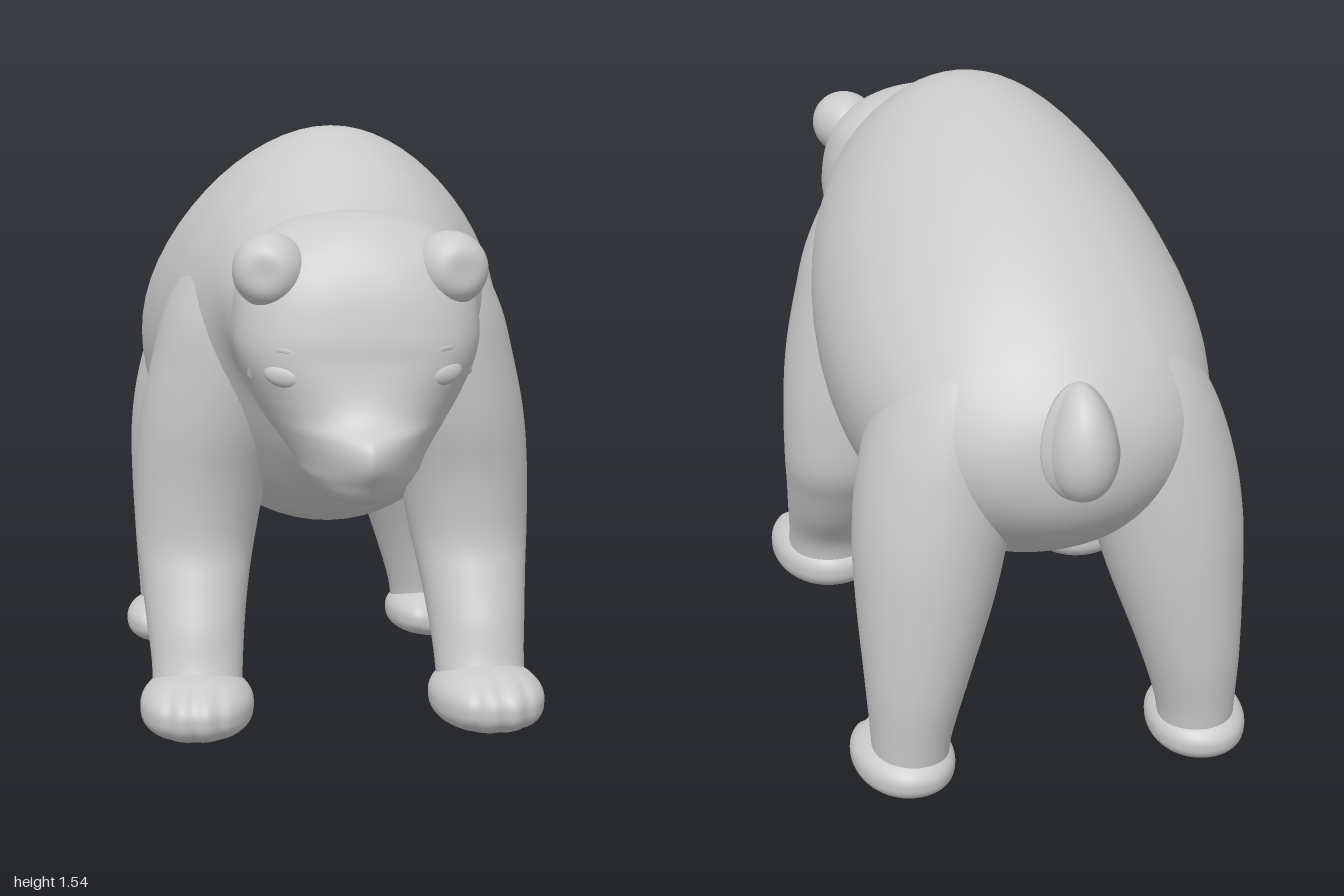
import * as THREE from 'three';
import { mergeVertices } from 'three/addons/utils/BufferGeometryUtils.js';

const grey = new THREE.MeshStandardMaterial({ color: 0xcccccc, roughness: 0.8 });

function add(group, name, geometry) {
  const mesh = new THREE.Mesh(geometry, grey);
  mesh.name = name;
  group.add(mesh);
  return mesh;
}

// Smooth interpolation of every column of a section table
function sampleRows(rows, t) {
  const f = t * (rows.length - 1);
  const i = Math.min(Math.floor(f), rows.length - 2);
  const u = f - i;
  const at = (k) => rows[Math.max(0, Math.min(rows.length - 1, k))];
  return rows[0].map((_, c) => {
    const [a, b, d, e] = [at(i - 1)[c], at(i)[c], at(i + 1)[c], at(i + 2)[c]];
    return b + 0.5 * u * (d - a + u * (2 * a - 5 * b + 4 * d - e + u * (3 * (b - d) + e - a)));
  });
}

// Closed skin through cross-sections; place(row, angle) returns a point
function loft(rows, place, rings = 64, sides = 56) {
  const pos = [], idx = [];
  for (let r = 0; r <= rings; r++) {
    const row = sampleRows(rows, r / rings);
    for (let s = 0; s < sides; s++) pos.push(...place(row, (s / sides) * Math.PI * 2));
  }
  const tri = (a, b, c) => idx.push(a, b, c);
  for (let r = 0; r < rings; r++) {
    for (let s = 0; s < sides; s++) {
      const n = (s + 1) % sides, a = r * sides, b = a + sides;
      tri(a + s, a + n, b + n);
      tri(a + s, b + n, b + s);
    }
  }
  // End caps
  for (const r of [0, rings]) {
    const centre = pos.length / 3, mid = [0, 0, 0];
    for (let s = 0; s < sides; s++) for (let k = 0; k < 3; k++) mid[k] += pos[(r * sides + s) * 3 + k] / sides;
    pos.push(...mid);
    for (let s = 0; s < sides; s++) {
      const a = r * sides + s, b = r * sides + ((s + 1) % sides);
      if (r) tri(a, b, centre); else tri(b, a, centre);
    }
  }
  // Turn the faces outward if the enclosed volume is negative
  let volume = 0;
  const P = (i) => new THREE.Vector3().fromArray(pos, i * 3);
  for (let i = 0; i < idx.length; i += 3) volume += P(idx[i]).dot(P(idx[i + 1]).cross(P(idx[i + 2])));
  if (volume < 0) idx.reverse();
  const g = new THREE.BufferGeometry();
  g.setAttribute('position', new THREE.Float32BufferAttribute(pos, 3));
  g.setIndex(idx);
  g.computeVertexNormals();
  return g;
}

// Unit sphere reshaped by a rule acting on each point
function blob(rule, w = 40, h = 28) {
  let g = new THREE.SphereGeometry(1, w, h);
  g.deleteAttribute('uv');
  g.deleteAttribute('normal');
  g = mergeVertices(g);
  const p = g.attributes.position, v = new THREE.Vector3();
  for (let i = 0; i < p.count; i++) {
    rule(v.fromBufferAttribute(p, i));
    p.setXYZ(i, v.x, v.y, v.z);
  }
  g.computeVertexNormals();
  return g;
}

const spow = (v, e) => Math.sign(v) * Math.abs(v) ** e;

// Leg section: y, inner x, outer x, back z, front z
const legSkin = (side) => ([y, xi, xo, zb, zf], a) => [
  side * ((xi + xo) / 2 + ((xo - xi) / 2) * Math.cos(a)), y,
  (zb + zf) / 2 + ((zf - zb) / 2) * Math.sin(a)];

// Leg tops thin out inside the body so they merge into it
const frontLegRows = [
  [0.1, 0.25, 0.475, 0.24, 0.5], [0.2, 0.245, 0.475, 0.22, 0.45], [0.3, 0.235, 0.485, 0.14, 0.42],
  [0.4, 0.22, 0.495, 0.075, 0.38], [0.5, 0.2, 0.505, 0.02, 0.35], [0.65, 0.17, 0.505, 0, 0.36],
  [0.8, 0.13, 0.492, -0.01, 0.39], [0.95, 0.1, 0.462, -0.02, 0.41], [1.1, 0.08, 0.42, -0.02, 0.42],
  [1.25, 0.06, 0.335, 0, 0.4], [1.36, 0.05, 0.2, 0.05, 0.32]];
const backLegRows = [
  [0.06, 0.275, 0.46, -0.8, -0.6], [0.15, 0.265, 0.465, -0.81, -0.59], [0.3, 0.22, 0.475, -0.83, -0.55],
  [0.5, 0.15, 0.485, -0.84, -0.47], [0.65, 0.11, 0.485, -0.84, -0.42], [0.8, 0.08, 0.465, -0.83, -0.38],
  [0.95, 0.06, 0.418, -0.81, -0.36], [1.08, 0.05, 0.335, -0.77, -0.38], [1.18, 0.05, 0.2, -0.7, -0.45]];

// Paw with a flattened sole and three soft grooves between the toes
const pawSkin = () => blob((v) => {
  const front = THREE.MathUtils.smoothstep(v.z, 0.25, 0.9);
  let groove = 0;
  for (const g of [-0.42, 0, 0.42]) groove += Math.exp(-(((v.x - g) / 0.08) ** 2));
  const k = 1 - 0.07 * groove * front;
  v.set(spow(v.x, 0.95), spow(v.y, v.y < 0 ? 0.7 : 0.95) * (v.y > 0 ? k : 1), spow(v.z, 0.95) * k);
}, 64, 32);

export function createModel() {
  const bear = new THREE.Group();
  bear.name = 'bear';

  // Body and neck: z, bottom y, top y, half width; the back narrows towards the spine
  const bodyRows = [
    [0.74, 0.98, 1.27, 0.17], [0.66, 0.92, 1.345, 0.25], [0.55, 0.86, 1.388, 0.285], [0.45, 0.83, 1.44, 0.318],
    [0.35, 0.69, 1.495, 0.36], [0.2, 0.54, 1.535, 0.415], [0, 0.49, 1.52, 0.453],
    [-0.2, 0.47, 1.47, 0.467], [-0.4, 0.49, 1.4, 0.457], [-0.6, 0.55, 1.3, 0.412],
    [-0.75, 0.64, 1.19, 0.335], [-0.84, 0.72, 1.09, 0.235], [-0.885, 0.8, 1.01, 0.13], [-0.9, 0.89, 0.91, 0.01]];
  add(bear, 'body', loft(bodyRows, ([z, yb, yt, w], a) => {
    const s = Math.sin(a), narrow = 1 - 0.13 * Math.max(0, s) ** 2;
    return [w * Math.cos(a) * narrow, (yb + yt) / 2 + ((yt - yb) / 2) * s, z];
  }, 80, 64));

  // Head: y, front z, back z, half width, roundness of the front
  const headRows = [
    [0.698, 0.82, 0.78, 0.02, 2], [0.725, 0.92, 0.67, 0.085, 1.8], [0.77, 0.965, 0.54, 0.135, 1.6],
    [0.805, 0.993, 0.48, 0.155, 1.45], [0.84, 1, 0.44, 0.178, 1.4], [0.87, 0.985, 0.42, 0.2, 1.45],
    [0.905, 0.935, 0.41, 0.225, 1.75], [0.95, 0.908, 0.4, 0.25, 2.1],
    [1.03, 0.89, 0.4, 0.282, 2.6], [1.1, 0.883, 0.4, 0.292, 2.6], [1.2, 0.86, 0.4, 0.28, 2.5],
    [1.28, 0.82, 0.42, 0.245, 2.3], [1.34, 0.76, 0.46, 0.165, 2], [1.367, 0.68, 0.6, 0.04, 2]];
  add(bear, 'head', loft(headRows, ([y, zf, zb, w, n], a) => {
    const s = Math.sin(a), zc = zb + (zf - zb) * 0.52, e = s > 0 ? 2 / n : 1.15;
    return [w * spow(Math.cos(a), e), y, zc + (s > 0 ? zf - zc : zc - zb) * spow(s, e)];
  }, 84, 72));

  // Tail, rooted in the rump and swinging out at the tip
  const tail = add(bear, 'tail', blob((v) => v.set(
    v.x * (v.z > 0 ? 0.095 : 0.08) * (1 - 0.2 * v.y), v.y * 0.14, v.z * 0.098)));
  tail.position.set(0, 0.978, -0.897);
  tail.rotation.x = 0.24;

  for (const side of [1, -1]) {
    const label = side > 0 ? 'left' : 'right';
    add(bear, label + 'FrontLeg', loft(frontLegRows, legSkin(side), 56, 40));
    add(bear, label + 'BackLeg', loft(backLegRows, legSkin(side), 56, 40));

    const frontPaw = add(bear, label + 'FrontPaw', pawSkin());
    frontPaw.scale.set(0.142, 0.082, 0.192);
    frontPaw.position.set(side * 0.366, 0.117, 0.412);
    frontPaw.rotation.y = side * 0.1;
    const backPaw = add(bear, label + 'BackPaw', pawSkin());
    backPaw.scale.set(0.124, 0.068, 0.17);
    backPaw.position.set(side * 0.38, 0.069, -0.662);
    backPaw.rotation.y = side * 0.1;

    // Round ear with a shallow cup in front
    const ear = add(bear, label + 'Ear', blob((v) => {
      const cup = v.z > 0 ? 0.25 * Math.exp(-(v.x * v.x + v.y * v.y) / 0.35) : 0;
      v.set(v.x * 0.087, v.y * 0.087, (v.z - cup) * 0.108);
    }));
    ear.position.set(side * 0.21, 1.243, 0.755);
    ear.rotation.y = side * 0.25;

    // Nearly closed eye: low bulge under a soft brow fold
    const eye = add(bear, label + 'Eye', blob((v) => v.set(v.x * 0.048, v.y * 0.028, v.z * 0.02), 24, 16));
    eye.position.set(side * 0.187, 1.01, 0.838);
    eye.rotation.set(0, side * 0.5, side * 0.15);
    const fold = (name, points, radius) => add(bear, label + name, new THREE.TubeGeometry(
      new THREE.CatmullRomCurve3(points.map(([x, y, z]) => new THREE.Vector3(side * x, y, z))), 24, radius, 10));
    fold('Brow', [[0.12, 1.01, 0.858], [0.145, 1.055, 0.857], [0.195, 1.07, 0.836], [0.24, 1.045, 0.787], [0.25, 1, 0.755]], 0.014);
  }
  return bear;
}
